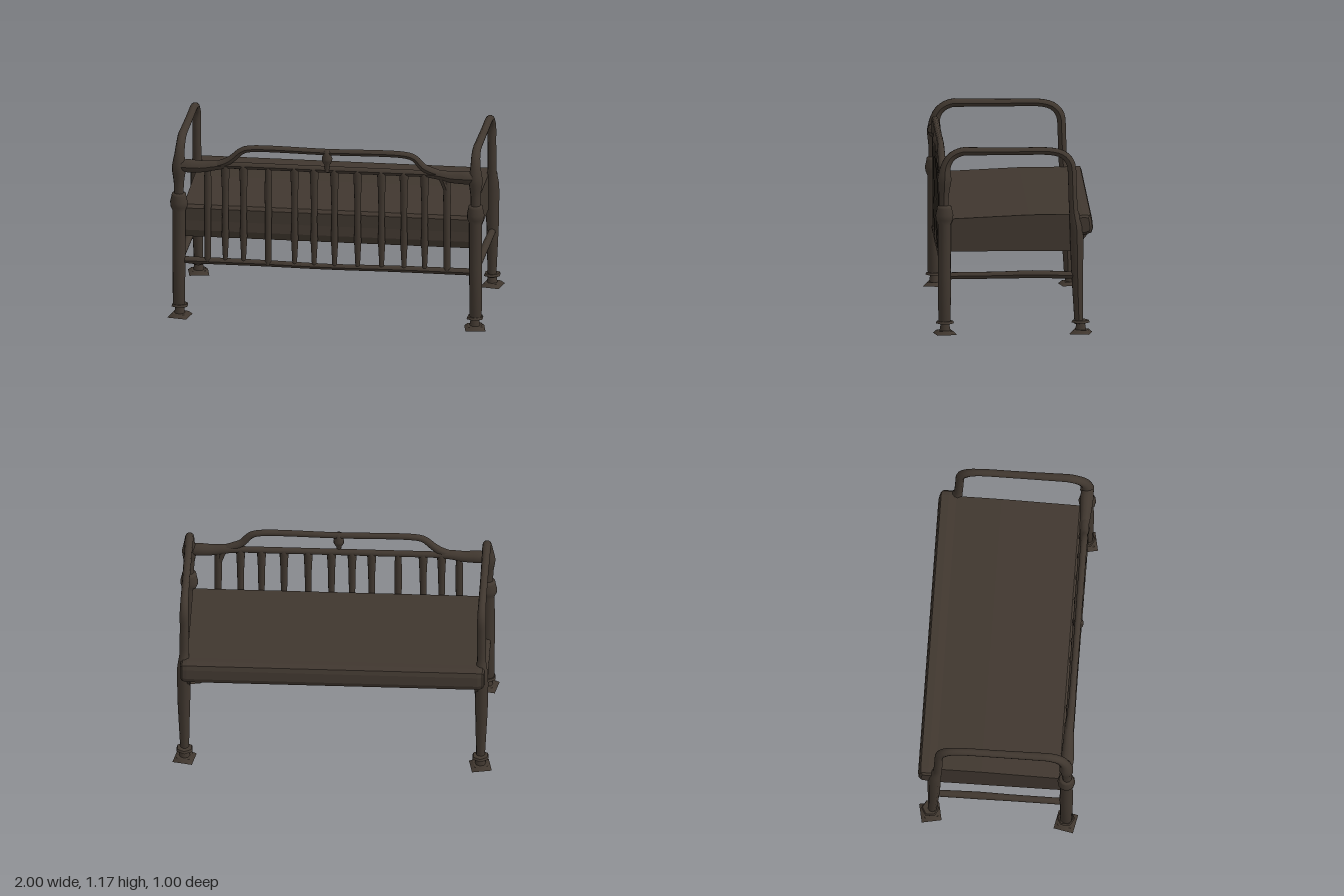
import * as THREE from 'three';

const iron = new THREE.MeshStandardMaterial({ color: 0x40372f });
iron.name = 'dark brown iron';

// Smooth tube through [x, y, z, radius] stations
function limb(name, stations, segments = 24, sides = 10) {
  const curve = new THREE.CatmullRomCurve3(stations.map(s => new THREE.Vector3(s[0], s[1], s[2])), false, 'centripetal');
  const geo = new THREE.TubeGeometry(curve, segments, 1, sides);
  const pos = geo.attributes.position;
  const v = new THREE.Vector3();
  for (let i = 0; i <= segments; i++) {
    const c = curve.getPointAt(i / segments);
    const t = curve.getUtoTmapping(i / segments) * (stations.length - 1);
    const k = Math.min(Math.floor(t), stations.length - 2);
    const r = THREE.MathUtils.lerp(stations[k][3], stations[k + 1][3], t - k);
    for (let j = 0; j <= sides; j++) {
      const n = i * (sides + 1) + j;
      v.fromBufferAttribute(pos, n).sub(c).multiplyScalar(r).add(c);
      pos.setXYZ(n, v.x, v.y, v.z);
    }
  }
  geo.computeVertexNormals();
  const mesh = new THREE.Mesh(geo, iron);
  mesh.name = name;
  return mesh;
}

// Turned piece from [radius, y] points
function turned(name, profile, x, z) {
  const mesh = new THREE.Mesh(new THREE.LatheGeometry(profile.map(p => new THREE.Vector2(p[0], p[1])), 12), iron);
  mesh.name = name;
  mesh.position.set(x, 0, z);
  return mesh;
}

// Solid with a [z, y] outline, running the given width along x, ends optionally bevelled
function slab(name, outline, width, x = 0, bevel = 0) {
  const shape = new THREE.Shape(outline.map(p => new THREE.Vector2(p[0], p[1])));
  const depth = width - 2 * bevel;
  const geo = new THREE.ExtrudeGeometry(shape, {
    depth, bevelEnabled: bevel > 0, bevelThickness: bevel, bevelSize: bevel / 2, bevelOffset: -bevel / 2, bevelSegments: 2,
  });
  geo.translate(0, 0, -depth / 2).rotateY(-Math.PI / 2);
  const mesh = new THREE.Mesh(geo, iron);
  mesh.name = name;
  mesh.position.x = x;
  return mesh;
}

// Caster foot: square plate, short neck and a small disc
function foot(name, x, z, turn) {
  const group = new THREE.Group();
  group.name = name;
  const plate = new THREE.Mesh(new THREE.CylinderGeometry(0.06, 0.088, 0.022, 4), iron);
  plate.name = 'footPlate';
  plate.position.y = 0.011;
  plate.rotation.y = Math.PI / 4 + turn;
  const neck = new THREE.Mesh(new THREE.CylinderGeometry(0.025, 0.035, 0.06, 8), iron);
  neck.name = 'footNeck';
  neck.position.y = 0.045;
  const disc = new THREE.Mesh(new THREE.CylinderGeometry(0.05, 0.057, 0.015, 6), iron);
  disc.name = 'footDisc';
  disc.position.y = 0.075;
  group.add(plate, neck, disc);
  group.position.set(x, 0, z);
  return group;
}

export function createModel() {
  const model = new THREE.Group();
  model.name = 'daybed';

  // Mattress, its underside rising to the rolled back edge
  const front = [[0.4, 0.515], [0.412, 0.56], [0.405, 0.62], [0.405, 0.7], [0.385, 0.72]];
  const top = [[-0.1, 0.743], [-0.46, 0.745]];
  model.add(slab('mattress', [...front, ...top, [-0.46, 0.64], [-0.44, 0.617], [-0.36, 0.61], [0, 0.585], [0.34, 0.54]], 1.8));
  model.add(slab('backRoll', [
    [-0.36, 0.742], [-0.43, 0.75], [-0.478, 0.748], [-0.488, 0.72], [-0.495, 0.66], [-0.485, 0.63], [-0.44, 0.615], [-0.37, 0.62],
  ], 1.89, 0, 0.04));

  for (const s of [-1, 1]) {
    const side = new THREE.Group();
    side.name = s > 0 ? 'leftEnd' : 'rightEnd';
    side.add(slab('mattressSide', [...front, ...top, [-0.46, 0.62], [-0.38, 0.515]], 0.02, s * 0.895));
    // Front post with collar
    side.add(turned('frontPost', [
      [0, 0.07], [0.038, 0.07], [0.041, 0.4], [0.04, 0.69], [0.053, 0.72], [0.055, 0.75],
      [0.046, 0.79], [0.044, 0.805], [0.028, 0.81], [0, 0.81],
    ], s * 0.93, 0.43));
    // One bent tube: vase-shaped front, arm rest and tapered back leg
    side.add(limb('armAndBackLeg', [
      [s * 0.93, 0.79, 0.435, 0.029], [s * 0.93, 0.88, 0.433, 0.032], [s * 0.93, 0.97, 0.43, 0.046],
      [s * 0.928, 1.06, 0.42, 0.031], [s * 0.925, 1.115, 0.385, 0.028], [s * 0.925, 1.147, 0.32, 0.027],
      [s * 0.925, 1.148, 0.26, 0.026], [s * 0.925, 1.147, 0, 0.024], [s * 0.925, 1.143, -0.25, 0.024],
      [s * 0.925, 1.12, -0.315, 0.026], [s * 0.925, 1.07, -0.355, 0.028], [s * 0.925, 0.95, -0.365, 0.027],
      [s * 0.925, 0.77, -0.373, 0.028], [s * 0.925, 0.68, -0.388, 0.042], [s * 0.925, 0.6, -0.392, 0.043],
      [s * 0.925, 0.4, -0.395, 0.039], [s * 0.92, 0.06, -0.405, 0.027],
    ], 80));
    side.add(limb('sideRail', [
      [s * 0.925, 0.365, 0.42, 0.022], [s * 0.925, 0.368, 0.1, 0.022],
      [s * 0.925, 0.372, -0.12, 0.025], [s * 0.925, 0.365, -0.39, 0.022],
    ], 12));
    side.add(foot('frontFoot', s * 0.925, 0.427, s * 0.2));
    side.add(foot('backFoot', s * 0.92, -0.417, s * -0.2));
    // Thick end of the top rail
    side.add(limb('railEnd', [
      [s * 0.95, 0.987, 0.432, 0.032], [s * 0.87, 0.987, 0.432, 0.042], [s * 0.78, 0.987, 0.432, 0.036],
      [s * 0.7, 0.998, 0.43, 0.031], [s * 0.6, 1, 0.425, 0.02],
    ], 16));
    model.add(side);
  }

  // Front gallery rails
  model.add(limb('lowerRail', [
    [-0.93, 0.368, 0.425, 0.022], [-0.4, 0.367, 0.425, 0.02], [0, 0.362, 0.425, 0.018],
    [0.4, 0.367, 0.425, 0.02], [0.93, 0.368, 0.425, 0.022],
  ]));
  model.add(limb('middleRail', [[-0.65, 1, 0.425, 0.021], [0, 1, 0.425, 0.021], [0.65, 1, 0.425, 0.021]], 8));
  model.add(limb('raisedRail', [
    [-0.74, 0.99, 0.43, 0.025], [-0.65, 1.015, 0.433, 0.026], [-0.6, 1.045, 0.435, 0.024], [-0.53, 1.105, 0.438, 0.022],
    [-0.48, 1.118, 0.438, 0.021], [0, 1.118, 0.438, 0.02], [0.5, 1.118, 0.438, 0.021],
    [0.55, 1.1, 0.438, 0.022], [0.6, 1.045, 0.435, 0.024], [0.65, 1.02, 0.433, 0.026], [0.71, 0.995, 0.43, 0.025],
    [0.75, 0.9, 0.425, 0.022],
  ], 64));
  model.add(turned('centreKnob', [
    [0.014, 0.99], [0.016, 1.035], [0.032, 1.06], [0.033, 1.08], [0.025, 1.1], [0.022, 1.13], [0, 1.135],
  ], 0, 0.44));

  // Spindles, wide at the top and narrow at the foot
  const spindles = [-0.75, -0.64, -0.525, -0.37, -0.205, -0.083, 0.045, 0.19, 0.34, 0.48, 0.61, 0.75];
  for (const x of spindles) {
    const straight = Math.abs(x) > 0.7 || x === -0.37;
    model.add(turned('spindle', straight
      ? [[0.021, 0.36], [0.021, 0.65], [0.024, 0.85], [0.02, 1]]
      : [[0.014, 0.36], [0.016, 0.41], [0.023, 0.54], [0.019, 0.66], [0.022, 0.85], [0.028, 0.98], [0.02, 1.005]], x, 0.425));
  }
  return model;
}
